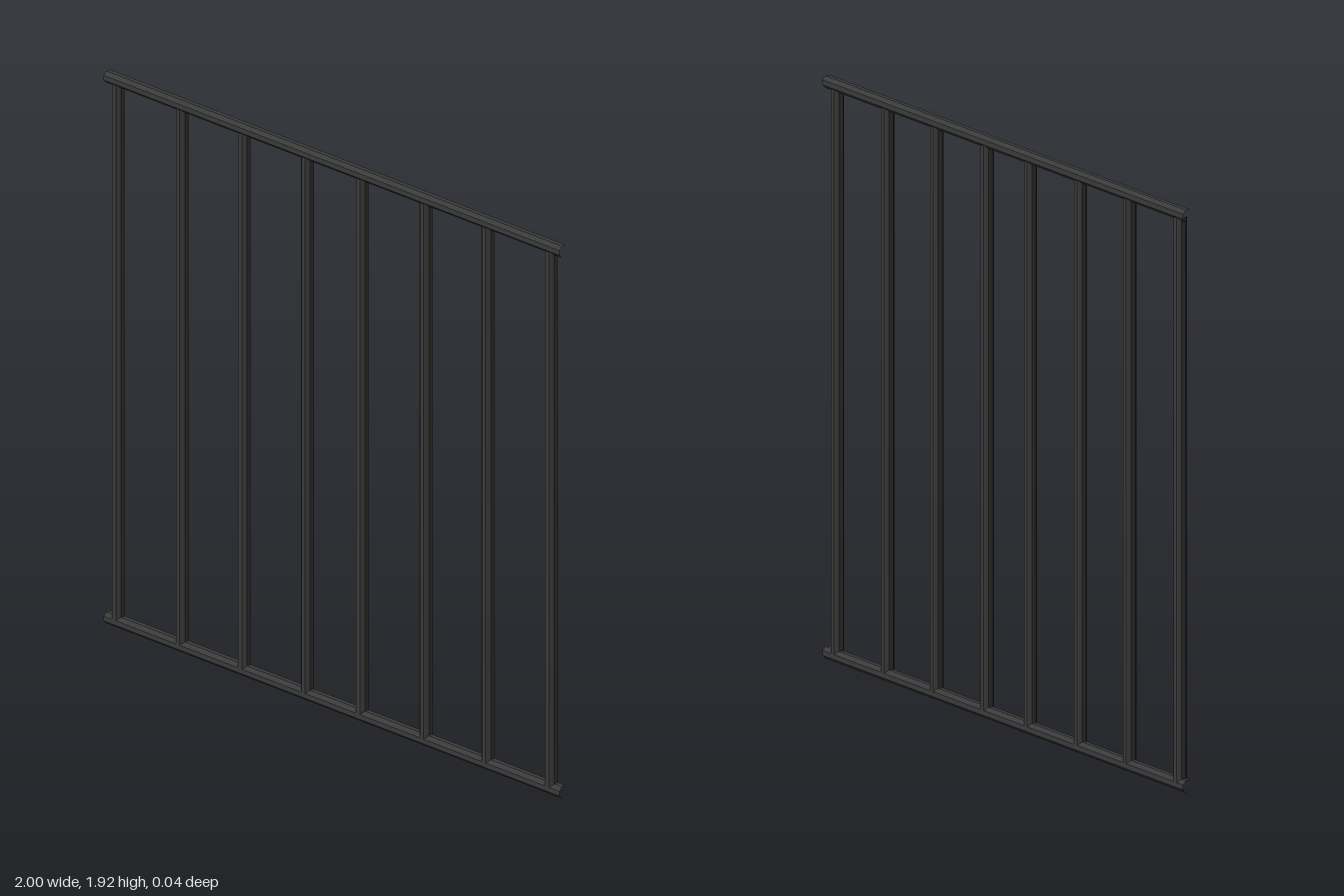
import * as THREE from 'three';

const R = 0.0215; // bar radius
const HEIGHT = 1.92;

export function createModel() {
  const group = new THREE.Group();
  group.name = 'railingPanel';
  const iron = new THREE.MeshStandardMaterial({ color: 0x3a3a3a, flatShading: true });
  iron.name = 'darkIron';

  // open-ended tube, low-poly
  const bar = (name, length, sides) => {
    const mesh = new THREE.Mesh(new THREE.CylinderGeometry(R, R, length, sides, 1, true), iron);
    mesh.name = name;
    group.add(mesh);
    return mesh;
  };

  // horizontal rails
  for (const [name, y] of [['bottomRail', R], ['topRail', HEIGHT - R]]) {
    const rail = bar(name, 2, 8);
    rail.geometry.rotateY(Math.PI / 8).rotateZ(Math.PI / 2);
    rail.position.y = y;
  }

  // upright bars, two sets of four
  const xs = [-0.955, -0.675, -0.402, -0.125, 0.115, 0.395, 0.667, 0.945];
  xs.forEach((x, i) => {
    const post = bar('uprightBar' + (i + 1), 1.86, 8);
    post.geometry.rotateY(Math.PI / 8);
    post.position.set(x, 0.958, 0);
  });

  return group;
}
